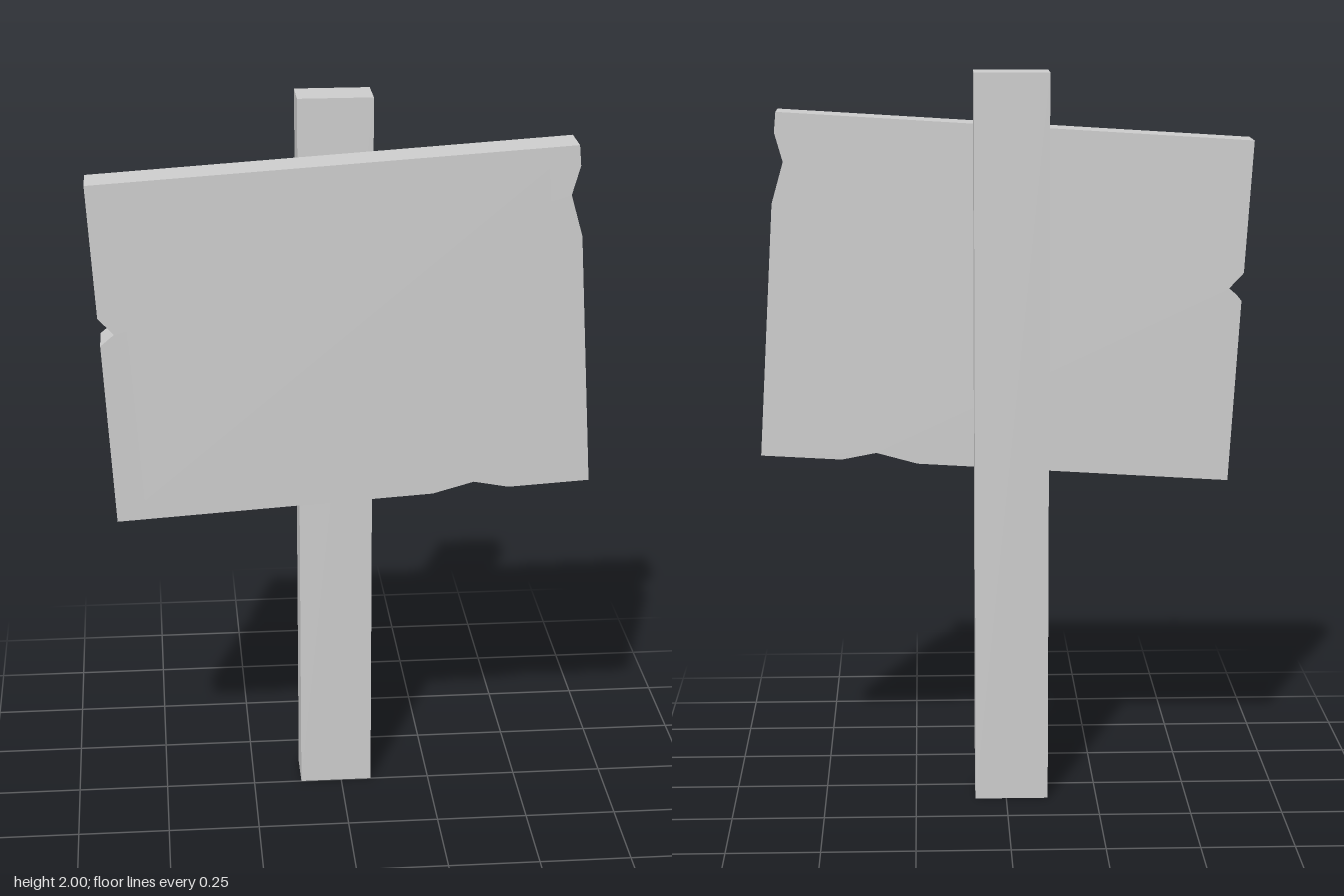
import * as THREE from 'three';

const material = new THREE.MeshStandardMaterial({ color: 0xcccccc, flatShading: true });

function outline(points) {
  return new THREE.Shape(points.map(([x, y]) => new THREE.Vector2(x, y)));
}

function addPart(group, name, geometry, x, y, z) {
  const mesh = new THREE.Mesh(geometry, material);
  mesh.name = name;
  mesh.position.set(x, y, z);
  group.add(mesh);
}

export function createModel() {
  const group = new THREE.Group();
  group.name = 'signpost';
  const boardDepth = 0.109;

  // Square-cut upright post behind the board
  addPart(group, 'post', new THREE.BoxGeometry(0.2, 2, 0.117), -0.015, 1, -0.0585);

  // Tilted board with chipped edges, clockwise from the top left corner
  const board = outline([
    [-0.67, 1.81], [0.61, 1.89],
    [0.615, 1.835], [0.593, 1.757], [0.625, 1.645], // chip in the left edge
    [0.667, 0.955],
    [0.447, 0.942], [0.352, 0.96], [0.24, 0.929], // chip in the bottom edge
    [-0.614, 0.876],
    [-0.643, 1.376], [-0.606, 1.407], [-0.648, 1.452], // notch in the right edge
  ]);
  addPart(group, 'board',
    new THREE.ExtrudeGeometry(board, { depth: boardDepth, bevelEnabled: false }), 0, 0, 0);

  // Blank sign face set on the front of the board
  const face = outline([[-0.595, 1.757], [0.534, 1.831], [0.59, 1.008], [-0.54, 0.934]]);
  addPart(group, 'signFace', new THREE.ShapeGeometry(face), 0, 0, boardDepth + 0.001);

  return group;
}
